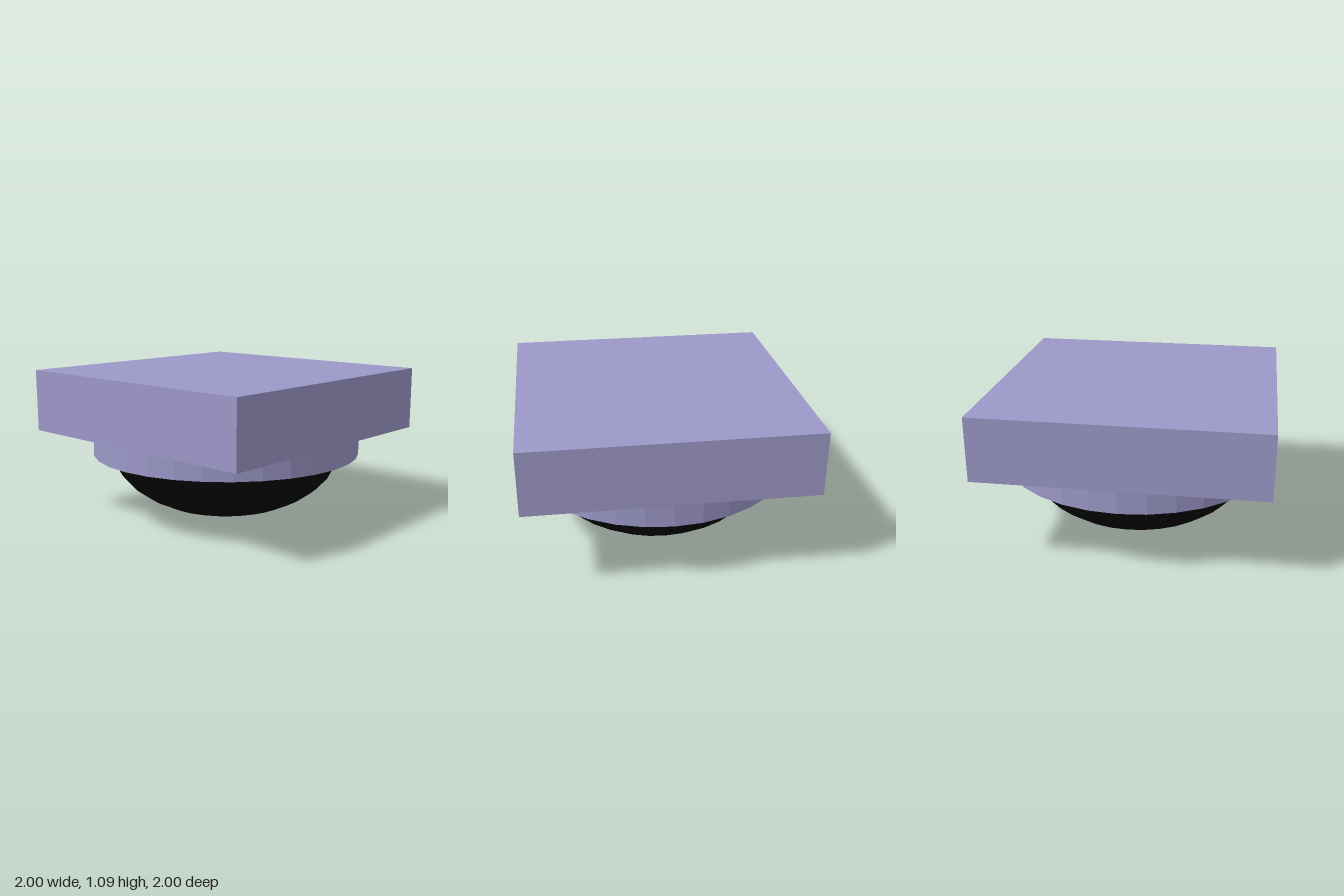
import * as THREE from 'three';

export function createModel() {
  const model = new THREE.Group();
  const housing = new THREE.MeshStandardMaterial({ color: 0x9c98c8, flatShading: true });
  const black = new THREE.MeshStandardMaterial({ color: 0x050505 });

  const add = (name, geometry, material, y) => {
    const mesh = new THREE.Mesh(geometry, material);
    mesh.name = name;
    mesh.position.y = y;
    model.add(mesh);
    return mesh;
  };

  // Square mounting block
  add('mountingBlock', new THREE.BoxGeometry(2, 0.455, 2), housing, 0.8625);

  // Faceted round collar under the block
  add('collar', new THREE.CylinderGeometry(1, 1, 0.16, 32), housing, 0.555);

  // Flattened dome: lower half of a squashed sphere, its rim hidden in the collar
  const dome = new THREE.SphereGeometry(0.86, 32, 8, 0, Math.PI * 2, Math.PI / 2, Math.PI / 2);
  dome.scale(1, 0.507 / 0.86, 1);
  add('dome', dome, black, 0.507);

  return model;
}
